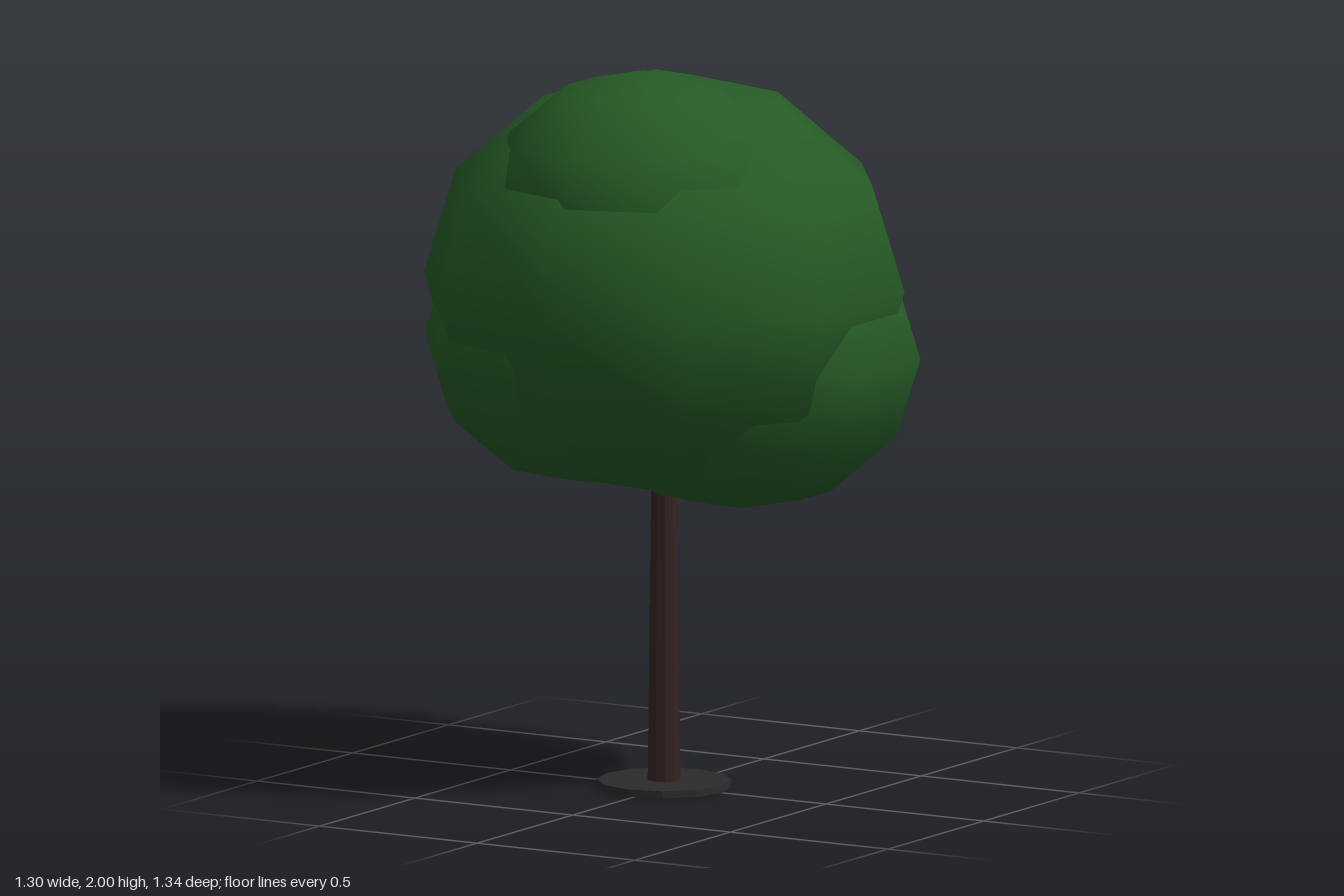
import * as THREE from 'three';

export function createModel() {
  const tree = new THREE.Group();
  tree.name = 'tree';

  const leafGreen = new THREE.MeshStandardMaterial({ color: 0x265a26 });
  leafGreen.name = 'leafGreen';
  const barkBrown = new THREE.MeshStandardMaterial({ color: 0x352322 });
  barkBrown.name = 'barkBrown';
  const baseGrey = new THREE.MeshStandardMaterial({ color: 0x2b2b2b });
  baseGrey.name = 'baseGrey';

  const axisX = -0.013; // trunk axis

  function add(name, geometry, material, x, y, z) {
    const mesh = new THREE.Mesh(geometry, material);
    mesh.name = name;
    mesh.position.set(x, y, z);
    tree.add(mesh);
  }

  // Faceted cylinder with hard edges
  function flatCylinder(top, bottom, height, sides) {
    const g = new THREE.CylinderGeometry(top, bottom, height, sides).toNonIndexed();
    g.computeVertexNormals();
    return g;
  }

  // Round ground plate and tapered trunk
  add('groundPlate', flatCylinder(0.183, 0.183, 0.02, 12), baseGrey, axisX, 0.01, 0);
  add('trunk', flatCylinder(0.034, 0.046, 1.0, 10), barkBrown, axisX, 0.5, 0);

  // Overlapping, slightly squashed leaf clumps: name, x, y, z, radius
  const clumps = [
    ['mainCrown', axisX, 1.39, 0, 0.67],
    ['topFrontClump', 0.015, 1.63, 0.155, 0.43],
    ['lowerLeftClump', 0.17, 1.2, -0.1, 0.5],
    ['lowerRightClump', -0.17, 1.24, 0.13, 0.46],
    ['upperBackClump', -0.14, 1.61, -0.17, 0.38],
  ];
  for (const [name, x, y, z, r] of clumps) {
    // Ten segments with corners on the z axis
    const g = new THREE.SphereGeometry(r, 10, 6, Math.PI / 2);
    g.scale(1, 0.863, 1);
    add(name, g, leafGreen, x, y, z);
  }

  return tree;
}
